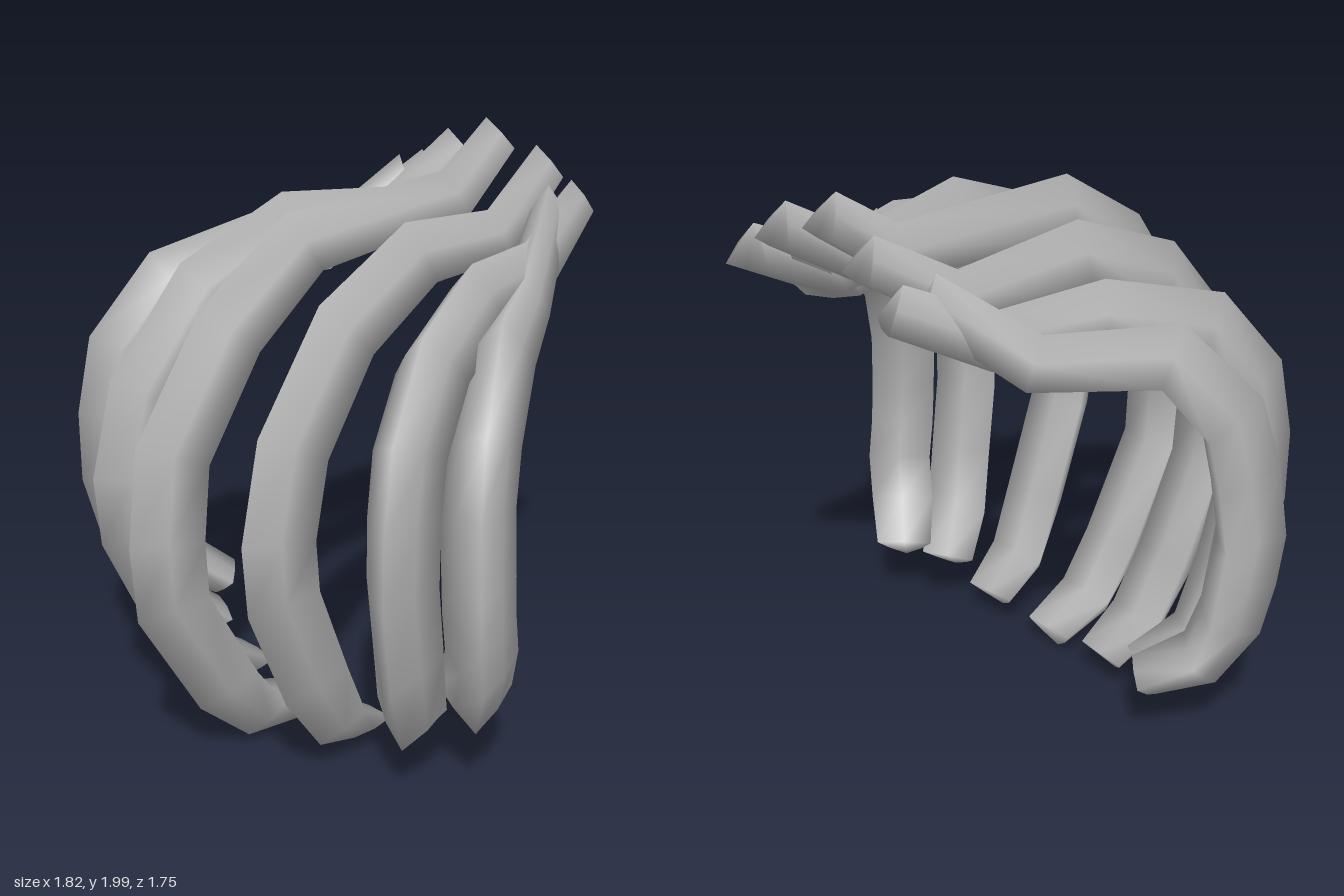
import * as THREE from 'three';

const grey = new THREE.MeshStandardMaterial({ color: 0xb2b2b2 });
grey.name = 'grey';

// Cross-section: [side, depth], a ridge on the outside and a broad flat inner face
const SECTION = [[0, 0], [0.6, -0.46], [1, -0.94], [0, -1], [-1, -0.94], [-0.6, -0.46]];

// Each rib: the way it faces (degrees from the front), the point its rear end
// is squared to, and its outer ridge from the rear end to the lower tip [x, y, z]
const RIBS = {
  centreRib: { turn: 0, aim: 1, ridge: [
    [0, 2, -0.74], [0, 1.85, -0.52], [0, 1.83, 0.2], [0, 1.6, 0.56], [0, 1.22, 0.83],
    [0, 0.9, 0.87], [0, 0.64, 0.85], [0, 0.23, 0.61], [0, 0.04, 0.4], [0, 0.01, 0.185]] },
  innerRib: { turn: 6, aim: 1, ridge: [
    [0.2, 1.93, -0.77], [0.23, 1.76, -0.49], [0.28, 1.81, -0.04], [0.32, 1.64, 0.37], [0.35, 1.3, 0.65],
    [0.36, 0.98, 0.73], [0.36, 0.74, 0.71], [0.34, 0.36, 0.54], [0.31, 0.12, 0.36], [0.29, 0.06, 0.18]] },
  middleRib: { turn: 27, aim: 1, ridge: [
    [0.34, 1.83, -0.79], [0.39, 1.68, -0.5], [0.48, 1.7, -0.13], [0.63, 1.59, 0.25], [0.71, 1.32, 0.46],
    [0.73, 1.05, 0.51], [0.73, 0.8, 0.51], [0.7, 0.5, 0.44], [0.63, 0.22, 0.31], [0.52, 0.15, 0.15]] },
  outerRib: { turn: 43, aim: 2, ridge: [
    [0.34, 1.83, -0.67], [0.48, 1.6, -0.39], [0.7, 1.59, -0.02], [0.84, 1.32, 0.2], [0.88, 1.08, 0.26],
    [0.91, 0.83, 0.28], [0.9, 0.65, 0.26], [0.88, 0.47, 0.22], [0.78, 0.27, 0.13], [0.63, 0.21, 0]] }
};
const WIDTHS = [0.07, 0.09, 0.11, 0.115, 0.115, 0.115, 0.115, 0.115, 0.115, 0.1];
const DEPTHS = [0.14, 0.16, 0.19, 0.21, 0.22, 0.22, 0.22, 0.21, 0.17, 0.12];

function ribGeometry({ turn, aim, ridge }, sign) {
  const path = ridge.map(([x, y, z]) => new THREE.Vector3(x * sign, y, z));
  const last = path.length - 1;
  const angle = THREE.MathUtils.degToRad(turn) * sign;
  const side = new THREE.Vector3(Math.cos(angle), 0, -Math.sin(angle));
  const direction = (a, b) => path[b].clone().sub(path[a]).normalize();
  const positions = [], index = [];
  const n = SECTION.length;

  path.forEach((p, i) => {
    let tangent;
    if (i === 0) tangent = direction(0, aim);
    else if (i === last) tangent = direction(last - 2, last);
    else tangent = direction(i - 1, i).add(direction(i, i + 1)).normalize();
    const out = tangent.cross(side).normalize();
    for (const [s, d] of SECTION) {
      const v = p.clone().addScaledVector(side, s * WIDTHS[i]).addScaledVector(out, d * DEPTHS[i]);
      positions.push(v.x, v.y, v.z);
    }
    // Skin to the next ring
    for (let k = 0; k < n && i < last; k++) {
      const a = i * n + k, b = i * n + (k + 1) % n;
      index.push(a, a + n, b, b, a + n, b + n);
    }
  });
  // End caps, shaded smoothly with the skin
  const tip = last * n;
  for (let k = 1; k < n - 1; k++) {
    index.push(0, k, k + 1, tip, tip + k + 1, tip + k);
  }
  const geometry = new THREE.BufferGeometry();
  geometry.setAttribute('position', new THREE.Float32BufferAttribute(positions, 3));
  geometry.setIndex(index);
  geometry.computeVertexNormals();
  return geometry;
}

export function createModel() {
  const model = new THREE.Group();
  model.name = 'ribCage';
  for (const [name, rib] of Object.entries(RIBS)) {
    const sides = name === 'centreRib' ? [['', 1]] : [['Left', 1], ['Right', -1]];
    for (const [suffix, sign] of sides) {
      const mesh = new THREE.Mesh(ribGeometry(rib, sign), grey);
      mesh.name = name + suffix;
      model.add(mesh);
    }
  }
  return model;
}
